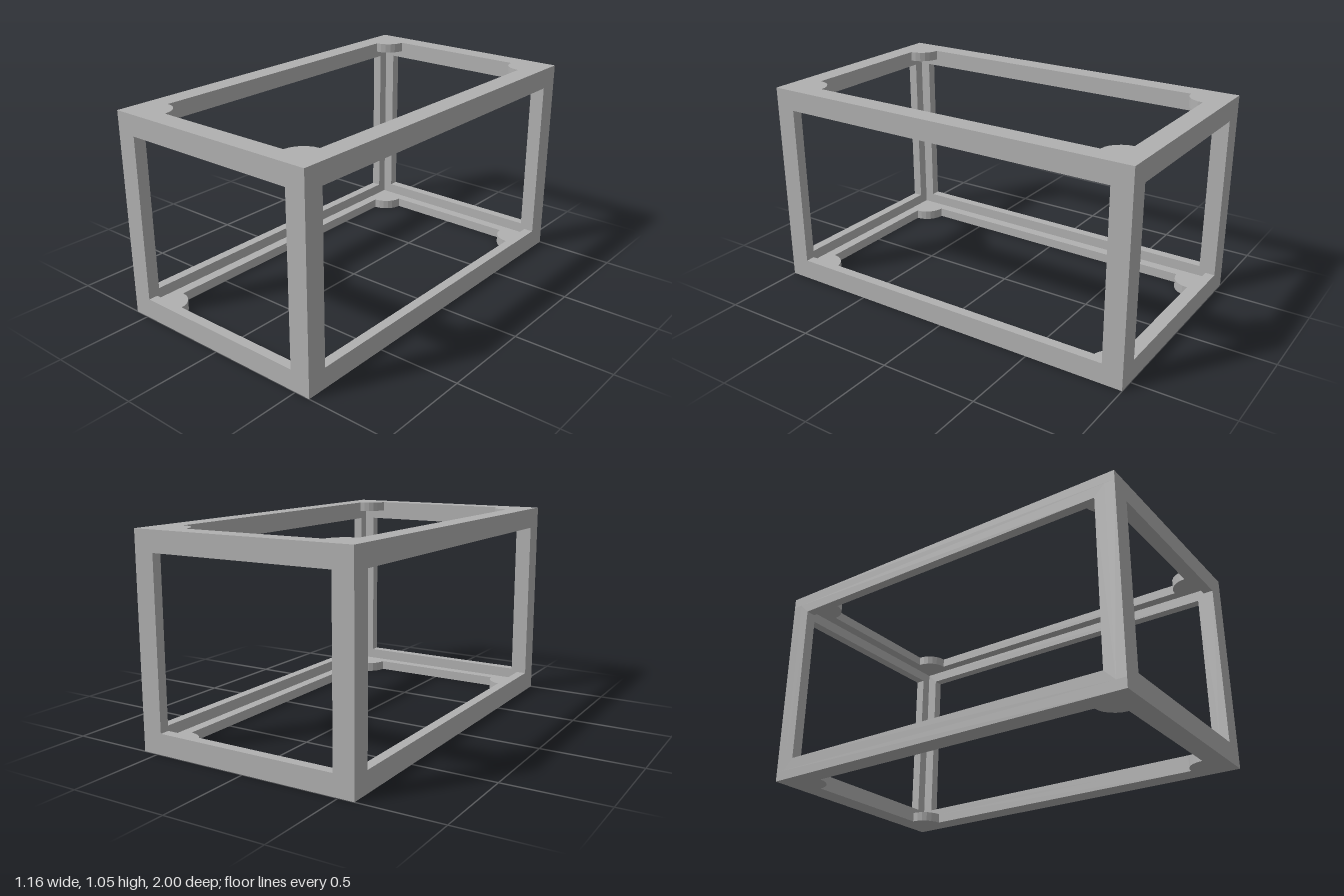
import * as THREE from 'three';

const X = 0.58, Z = 1, H = 1.055; // half width, half depth, height
const T = 0.05;                   // flange thickness
const F = 0.105;                  // flange width, also the gusset radius

function rect(path, x0, y0, x1, y1) {
  path.moveTo(x0, y0);
  path.lineTo(x1, y0);
  path.lineTo(x1, y1);
  path.lineTo(x0, y1);
  path.closePath();
  return path;
}

// Opening whose four corners are filled by quarter-disc gussets
function gussetOpening(a, b) {
  const path = new THREE.Path();
  path.moveTo(a, b - F);
  [[a, b], [-a, b], [-a, -b], [a, -b]].forEach(([cx, cy], i) => {
    const start = (i - 1) * Math.PI / 2;
    path.absarc(cx, cy, F, start, start - Math.PI / 2, true);
  });
  path.closePath();
  return path;
}

function plate(outline, opening) {
  outline.holes.push(opening);
  return new THREE.ExtrudeGeometry(outline, { depth: T, bevelEnabled: false, curveSegments: 3 });
}

export function createModel() {
  const model = new THREE.Group();
  model.name = 'angleFrame';
  const metal = new THREE.MeshStandardMaterial({ color: 0xb0b0b0 });
  metal.name = 'grey metal';

  const add = (name, geometry, x, y, z) => {
    const mesh = new THREE.Mesh(geometry, metal);
    mesh.name = name;
    mesh.position.set(x, y, z);
    model.add(mesh);
  };

  // Top and bottom rims with corner gussets
  const rim = plate(rect(new THREE.Shape(), -X, -Z, X, Z), gussetOpening(X - F, Z - F));
  rim.rotateX(-Math.PI / 2);
  add('bottomRim', rim, 0, 0, 0);
  add('topRim', rim, 0, H - T, 0);

  // Front and back flanges between the rims
  const end = plate(rect(new THREE.Shape(), -X, T, X, H - T),
    rect(new THREE.Path(), -X + F, F, X - F, H - F));
  add('frontFrame', end, 0, 0, Z - T);
  add('backFrame', end, 0, 0, -Z);

  // Side flanges between the front and back ones
  const side = plate(rect(new THREE.Shape(), -Z + T, T, Z - T, H - T),
    rect(new THREE.Path(), -Z + F, F, Z - F, H - F));
  side.rotateY(Math.PI / 2);
  add('leftFrame', side, X - T, 0, 0);
  add('rightFrame', side, -X, 0, 0);

  return model;
}
